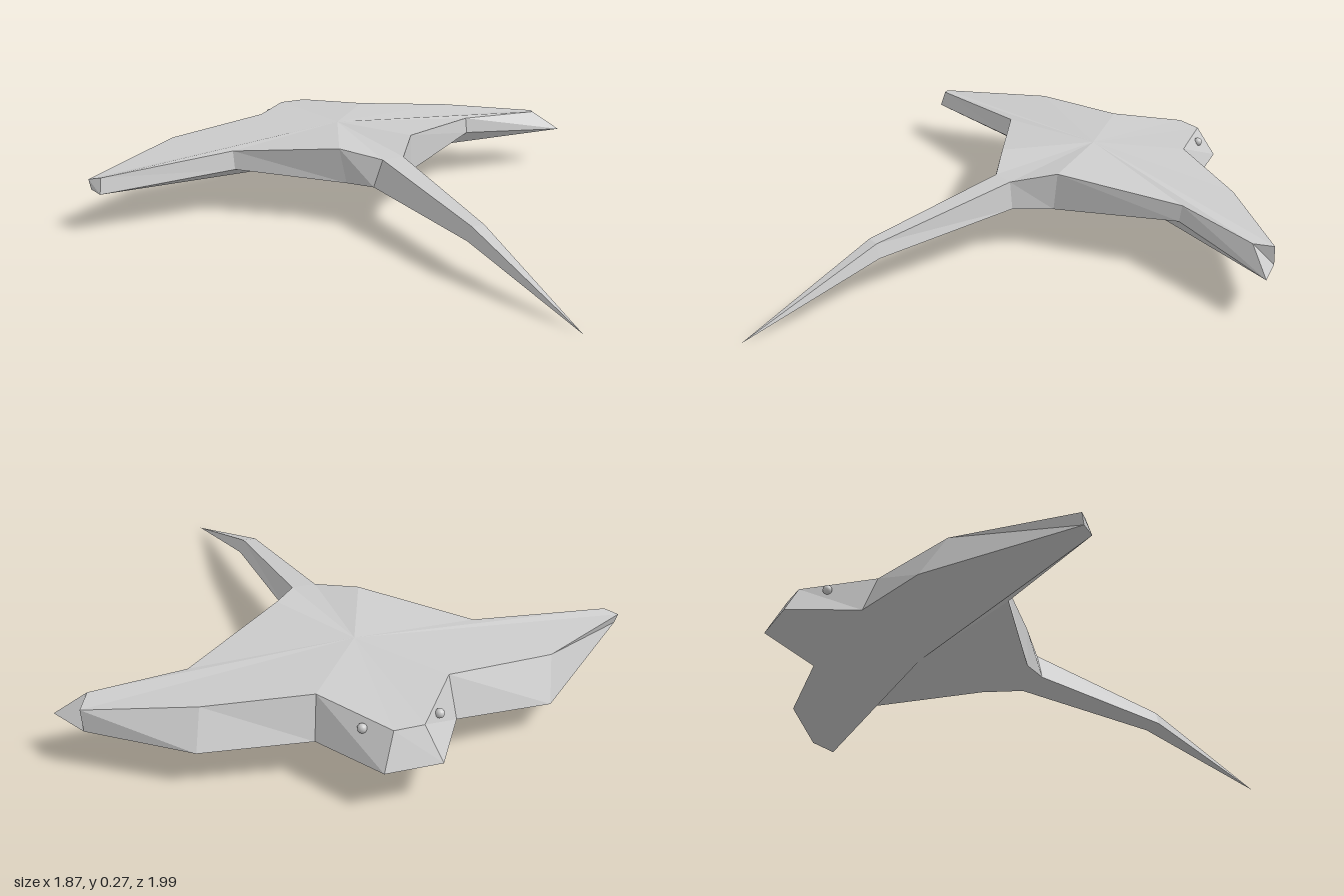
import * as THREE from 'three';

const material = new THREE.MeshStandardMaterial({ color: 0xcccccc, flatShading: true });

// Unindexed triangles give each facet its own normal
function facetMesh(name, triangles) {
  const geometry = new THREE.BufferGeometry();
  geometry.setAttribute('position', new THREE.Float32BufferAttribute(triangles.flat(2), 3));
  geometry.computeVertexNormals();
  const mesh = new THREE.Mesh(geometry, material);
  mesh.name = name;
  return mesh;
}

// Upper and lower outlines of the body, counterclockwise from above, head at -z
const upper = [
  [-0.04, 0.24, -0.945], [-0.2, 0.26, -0.75],                           // head, neck
  [-0.57, 0.23, -0.70], [-0.94, 0.19, -0.48], [-0.905, 0.20, -0.445],   // right fin
  [-0.43, 0.235, -0.43], [-0.13, 0.275, -0.17],
  [-0.015, 0.25, -0.06], [0.065, 0.25, -0.06],                          // tail root
  [0.16, 0.28, -0.19], [0.52, 0.235, -0.43],
  [0.83, 0.22, -0.44], [0.865, 0.205, -0.505],                          // left fin
  [0.54, 0.235, -0.645], [0.21, 0.26, -0.725], [0.055, 0.24, -0.945],
];
const lower = [
  [-0.08, 0.135, -1.0], [-0.21, 0.13, -0.80],
  [-0.54, 0.10, -0.775], [-0.935, 0.155, -0.47], [-0.915, 0.145, -0.43],
  [-0.43, 0.17, -0.415], [-0.11, 0.15, -0.155],
  [-0.05, 0.155, -0.06], [0.08, 0.155, -0.06],
  [0.155, 0.15, -0.18], [0.52, 0.18, -0.42],
  [0.93, 0.145, -0.405], [0.86, 0.135, -0.515],
  [0.57, 0.12, -0.71], [0.23, 0.13, -0.775], [0.10, 0.135, -0.995],
];
const TAIL_ROOT = 7;

function makeBody() {
  const back = [0, 0.275, -0.48], belly = [0, 0.125, -0.5];
  const triangles = [];
  for (let i = 0; i < upper.length; i++) {
    const j = (i + 1) % upper.length;
    triangles.push([back, upper[i], upper[j]], [belly, lower[j], lower[i]]);
    if (i !== TAIL_ROOT) {
      triangles.push([upper[i], lower[i], lower[j]], [upper[i], lower[j], upper[j]]);
    }
  }
  return facetMesh('body', triangles);
}

// Four-sided tail that bends once and closes at a point
function makeTail() {
  const tip = [0.12, 0.008, 0.99];
  const rings = [
    [upper[TAIL_ROOT], lower[TAIL_ROOT], lower[TAIL_ROOT + 1], upper[TAIL_ROOT + 1]],
    [[0.035, 0.18, 0.48], [0.02, 0.133, 0.48], [0.095, 0.133, 0.48], [0.08, 0.18, 0.48]],
  ];
  const triangles = [];
  for (let i = 0; i < 4; i++) {
    const j = (i + 1) % 4;
    const [a, b] = rings;
    triangles.push([a[i], a[j], b[j]], [a[i], b[j], b[i]], [b[i], b[j], tip]);
  }
  return facetMesh('tail', triangles);
}

export function createModel() {
  const model = new THREE.Group();
  model.name = 'ray';
  model.add(makeBody(), makeTail());

  // Small eyes on the sloping sides of the head
  const eyeGeometry = new THREE.SphereGeometry(0.015, 12, 8);
  const eyeMaterial = new THREE.MeshStandardMaterial({ color: 0xcccccc });
  for (const [name, x] of [['rightEye', -0.115], ['leftEye', 0.125]]) {
    const eye = new THREE.Mesh(eyeGeometry, eyeMaterial);
    eye.name = name;
    eye.position.set(x, 0.222, -0.88);
    model.add(eye);
  }
  return model;
}
